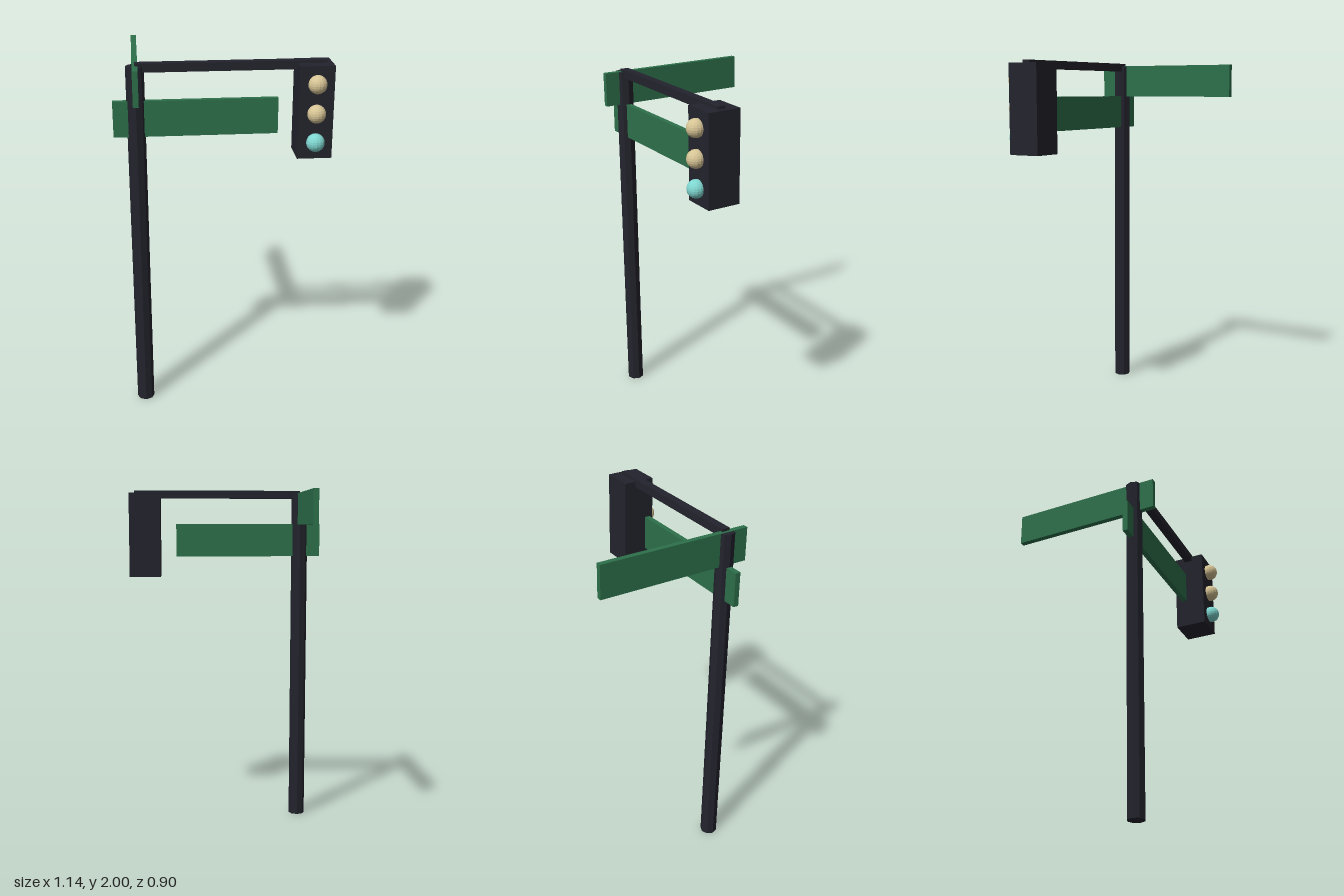
import * as THREE from 'three';

const mat = (name, color) => {
  const m = new THREE.MeshStandardMaterial({ color, flatShading: true });
  m.name = name;
  return m;
};

export function createModel() {
  const group = new THREE.Group();
  const metal = mat('dark metal', 0x23232d);
  const green = mat('sign green', 0x2d704b);
  const cream = mat('unlit lamp cream', 0xd6c495);
  const teal = mat('lit lamp teal', 0x7fd6d0);

  const add = (name, geometry, material, x, y, z) => {
    const mesh = new THREE.Mesh(geometry, material);
    mesh.name = name;
    mesh.position.set(x, y, z);
    group.add(mesh);
  };
  // Box given by its extents on each axis
  const box = (name, material, [x0, x1], [y0, y1], [z0, z1]) =>
    add(name, new THREE.BoxGeometry(x1 - x0, y1 - y0, z1 - z0), material,
      (x0 + x1) / 2, (y0 + y1) / 2, (z0 + z1) / 2);

  // Octagonal pole and the arm reaching to the signal
  add('pole', new THREE.CylinderGeometry(0.048, 0.048, 1.984, 8), metal, -0.452, 0.992, 0.292);
  box('arm', metal, [-0.452, 0.54], [1.954, 2], [0.269, 0.315]);

  // Street signs, crossing at the pole
  box('lowerSign', green, [-0.573, 0.292], [1.61, 1.802], [0.277, 0.307]);
  box('upperSign', green, [-0.467, -0.437], [1.8, 1.986], [-0.45, 0.416]);

  // Signal housing with three lamps
  box('signalHousing', metal, [0.386, 0.57], [1.49, 1.985], [0.201, 0.385]);
  [['topLamp', 1.893, cream], ['middleLamp', 1.737, cream], ['bottomLamp', 1.582, teal]]
    .forEach(([name, y, material]) =>
      add(name, new THREE.SphereGeometry(0.049, 16, 12), material, 0.478, y, 0.4));

  return group;
}
